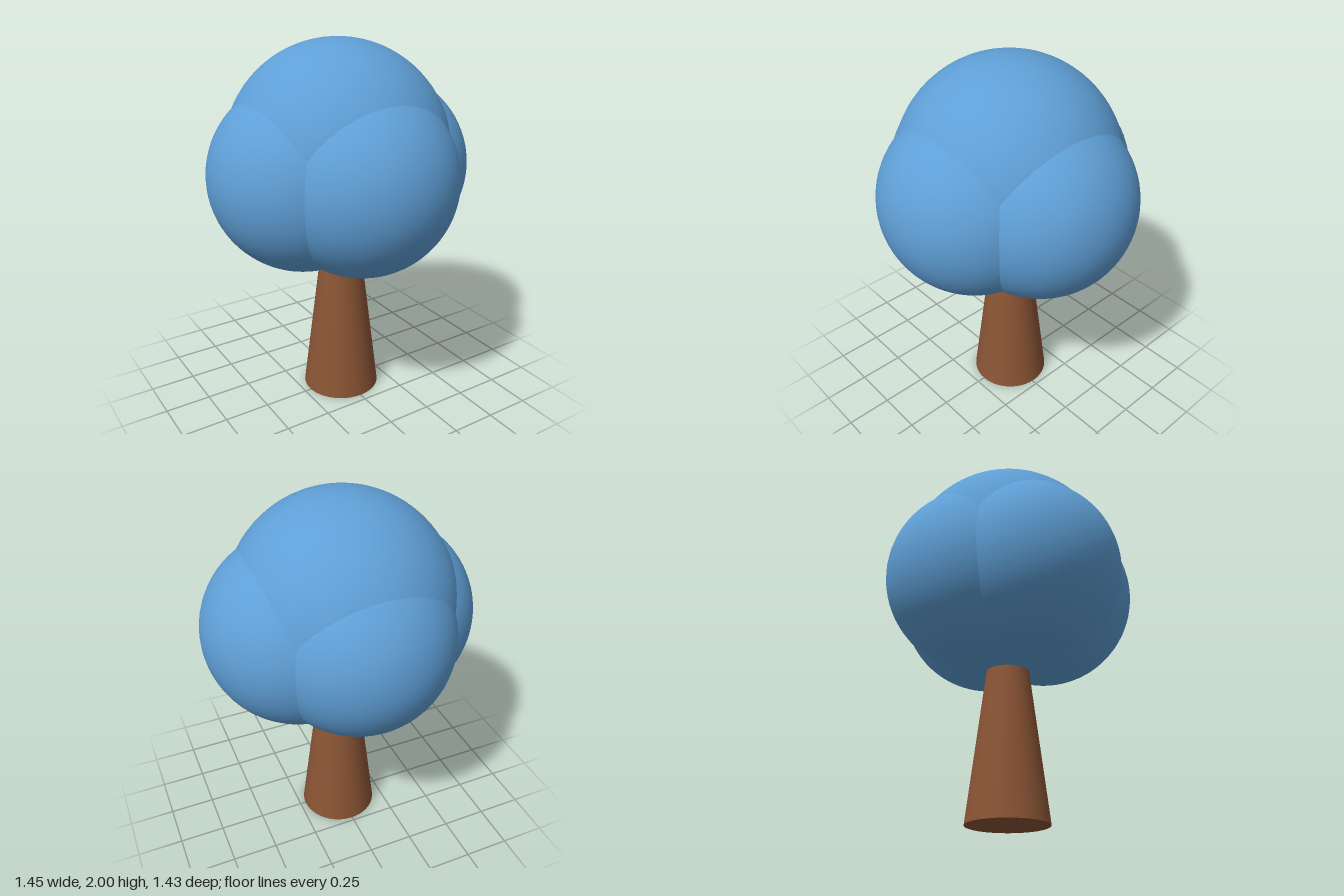
import * as THREE from 'three';

export function createModel() {
  const tree = new THREE.Group();
  tree.name = 'tree';

  const bark = new THREE.MeshStandardMaterial({ color: 0x8b5535 });
  const foliage = new THREE.MeshStandardMaterial({ color: 0x5f9fd6 });

  // Tapered trunk, its top hidden inside the crown
  const trunkHeight = 0.95;
  const trunk = new THREE.Mesh(new THREE.CylinderGeometry(0.098, 0.216, trunkHeight, 48), bark);
  trunk.name = 'trunk';
  trunk.position.set(0.002, trunkHeight / 2, -0.012);
  tree.add(trunk);

  // Crown: one large ball ringed by four smaller ones
  const crown = new THREE.Group();
  crown.name = 'crown';
  const balls = [
    ['topFoliage', 0.6, -0.015, 1.4, -0.017],
    ['leftFoliage', 0.5, 0.225, 1.31, -0.012],
    ['rightFoliage', 0.5, -0.228, 1.31, -0.014],
    ['frontFoliage', 0.5, -0.016, 1.31, 0.215],
    ['backFoliage', 0.5, -0.016, 1.31, -0.218],
  ];
  for (const [name, radius, x, y, z] of balls) {
    const ball = new THREE.Mesh(new THREE.SphereGeometry(radius, 64, 40), foliage);
    ball.name = name;
    ball.position.set(x, y, z);
    crown.add(ball);
  }
  tree.add(crown);

  return tree;
}
